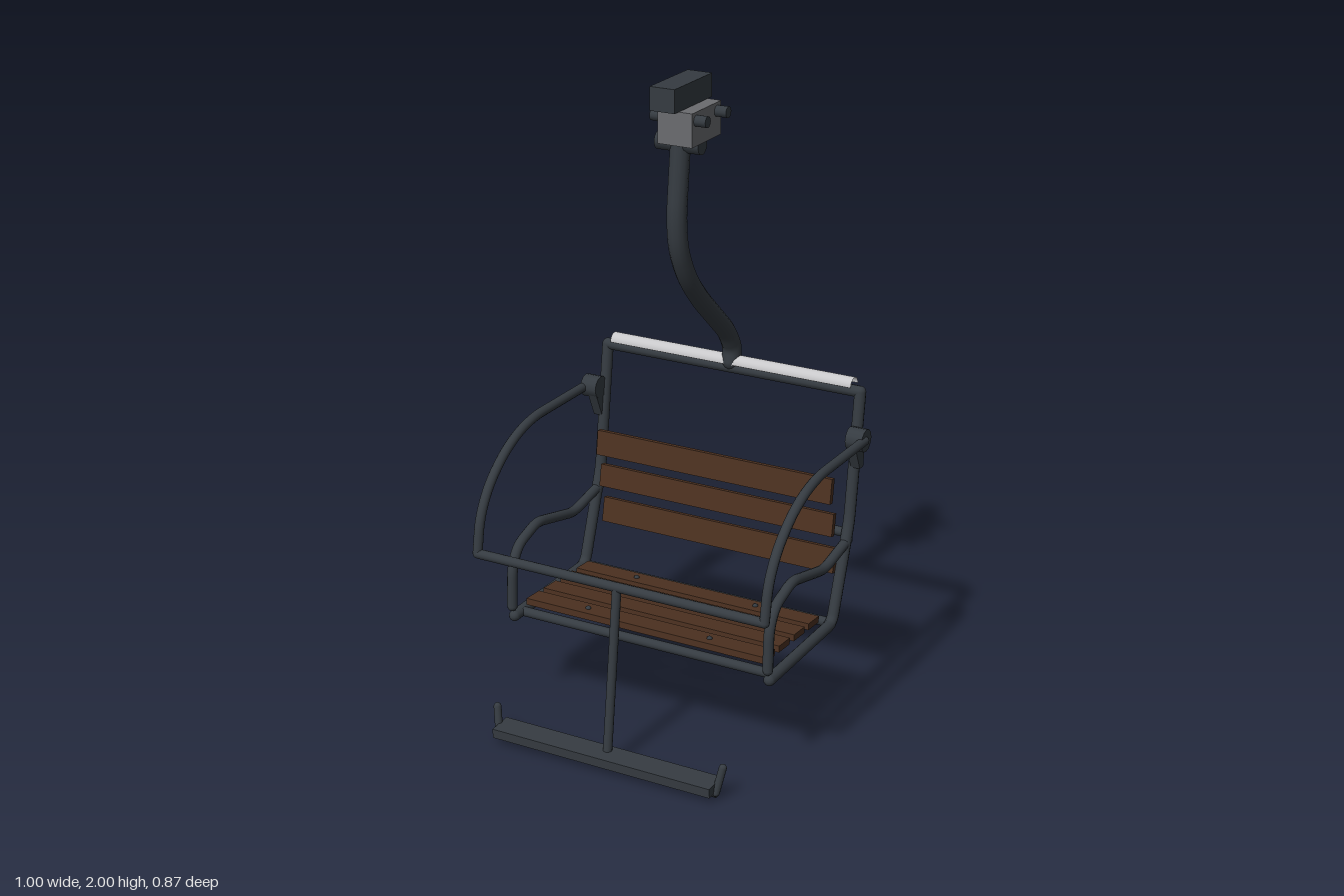
import * as THREE from 'three';

const V = (x, y, z) => new THREE.Vector3(x, y, z);

export function createModel() {
  const model = new THREE.Group();
  model.name = 'liftChair';
  const paint = (name, color) => {
    const m = new THREE.MeshStandardMaterial({ color });
    m.name = name;
    return m;
  };
  const steel = paint('dark steel', 0x353b41);
  const wood = paint('brown wood', 0x4c3120);
  const grey = paint('clamp grey', 0x6b6c70);
  const pale = paint('pale cover', 0xc8c8ca);
  pale.side = THREE.DoubleSide;

  const add = (name, geometry, material, x = 0, y = 0, z = 0, parent = model) => {
    const mesh = new THREE.Mesh(geometry, material);
    mesh.name = name;
    mesh.position.set(x, y, z);
    parent.add(mesh);
    return mesh;
  };
  const box = (name, w, h, d, mat, x, y, z) => add(name, new THREE.BoxGeometry(w, h, d), mat, x, y, z);

  // Round bar lying along x
  const rod = (name, x0, x1, y, z, r, mat = steel, sides = 12) =>
    add(name, new THREE.CylinderGeometry(r, r, x1 - x0, sides).rotateZ(Math.PI / 2), mat, (x0 + x1) / 2, y, z);

  // Bent pipe through points, with rounded corners and closed ends
  const pipe = (name, pts, r, bend = 0.04, segments = 64) => {
    const group = new THREE.Group();
    group.name = name;
    const path = new THREE.CurvePath();
    let from = pts[0];
    for (let i = 1; i < pts.length - 1; i++) {
      const p = pts[i];
      const cut = Math.min(bend, p.distanceTo(pts[i - 1]) * 0.48, p.distanceTo(pts[i + 1]) * 0.48);
      const a = pts[i - 1].clone().sub(p).setLength(cut).add(p);
      const b = pts[i + 1].clone().sub(p).setLength(cut).add(p);
      path.add(new THREE.LineCurve3(from, a));
      path.add(new THREE.QuadraticBezierCurve3(a, p, b));
      from = b;
    }
    const last = pts[pts.length - 1];
    path.add(new THREE.LineCurve3(from, last));
    add(name + 'Tube', new THREE.TubeGeometry(path, pts.length > 2 ? segments : 1, r, 12), steel, 0, 0, 0, group);
    for (const p of [pts[0], last]) add(name + 'End', new THREE.SphereGeometry(r, 12, 8), steel, p.x, p.y, p.z, group);
    model.add(group);
  };
  const side = (x, zy) => zy.map(([z, y]) => V(x, y, z));

  // Cable grip
  box('gripTop', 0.08, 0.07, 0.225, steel, 0, 1.965, -0.072);
  box('gripBlock', 0.112, 0.1, 0.175, grey, 0.027, 1.88, -0.072);
  for (const z of [-0.01, -0.135]) rod('gripBolt', -0.06, 0.12, 1.905, z, 0.017);
  rod('hangerPivot', -0.074, 0.07, 1.815, -0.072, 0.028);

  // Hanger arm
  pipe('hanger', side(0, [[-0.068, 1.81], [-0.045, 1.6], [-0.055, 1.5], [-0.105, 1.4], [-0.185, 1.31],
    [-0.365, 1.15], [-0.405, 1.085], [-0.4, 1.04]]), 0.03, 0.08, 80);

  // Chair frame, armrests and restraint pivots on both sides
  for (const s of [-1, 1]) {
    pipe('sideFrame', side(s * 0.44, [[-0.397, 1.02], [-0.343, 0.615], [-0.236, 0.313], [0.188, 0.313]]), 0.018, 0.03);
    pipe('armrest', side(s * 0.44, [[-0.335, 0.555], [-0.17, 0.522], [0.05, 0.575], [0.16, 0.54],
      [0.195, 0.48], [0.2, 0.35]]), 0.016, 0.035);
    pipe('restraintArm', side(s * 0.485, [[-0.337, 0.89], [-0.02, 0.893], [0.075, 0.873], [0.16, 0.832],
      [0.245, 0.762], [0.298, 0.675], [0.316, 0.565]]), 0.015, 0.06);
    rod('restraintPivot', s * 0.4625 - 0.0275, s * 0.4625 + 0.0275, 0.89, -0.341, 0.036);

    // Tapered bracket running down from the pivot onto the frame
    const shape = new THREE.Shape([[0.31, 0.88], [0.35, 0.79], [0.375, 0.79], [0.385, 0.9]].map(
      ([x, y]) => new THREE.Vector2(x, y)));
    const bracket = new THREE.ExtrudeGeometry(shape, { depth: 0.03, bevelEnabled: false });
    bracket.translate(0, 0, -0.015).rotateY(Math.PI / 2);
    add('pivotBracket', bracket, steel, s * 0.452, 0, 0);
  }

  // Cross bars
  rod('topCrossbar', -0.44, 0.44, 1.02, -0.397, 0.018);
  rod('backCrossbar', -0.44, 0.44, 0.575, -0.341, 0.015);
  rod('rearSeatCrossbar', -0.44, 0.44, 0.313, -0.237, 0.015);
  rod('frontSeatCrossbar', -0.44, 0.44, 0.313, 0.15, 0.015);
  rod('restraintCrossbar', -0.485, 0.485, 0.565, 0.316, 0.015);

  // Half-round cover over the top bar
  const cover = new THREE.CylinderGeometry(0.026, 0.026, 0.836, 12, 1, true, 0, Math.PI);
  add('topCover', cover.rotateZ(Math.PI / 2), pale, 0, 1.035, -0.4);

  // Seat slats with bolts on the outer two
  for (let i = 0; i < 4; i++) {
    const z = 0.13 - i * 0.1, y = 0.356 - i * 0.007;
    box('seatSlat', 0.82, 0.021, 0.072, wood, 0, y, z).rotation.x = -0.06;
    if (i % 3 === 0) for (const x of [-0.21, 0.21]) {
      add('slatBolt', new THREE.SphereGeometry(0.009, 10, 6), steel, x, y + 0.01, z);
    }
  }

  // Backrest slats
  for (const [y, z, h, tilt] of [[0.73, -0.28, 0.08, -0.14], [0.611, -0.298, 0.072, -0.17], [0.486, -0.314, 0.08, -0.19]]) {
    box('backSlat', 0.82, h, 0.019, wood, 0, y, z).rotation.x = tilt;
  }

  // Footrest hung from the restraint bar
  pipe('footrestStem', side(0, [[0.316, 0.565], [0.382, 0.025]]), 0.014);
  box('footrestPlate', 0.745, 0.03, 0.079, steel, 0, 0.038, 0.393).rotation.x = 0.05;
  rod('footrestBar', -0.372, 0.372, 0.016, 0.383, 0.016);
  for (const s of [-1, 1]) pipe('footrestEnd', [V(s * 0.374, 0.022, 0.394), V(s * 0.388, 0.1, 0.378)], 0.012);

  return model;
}
